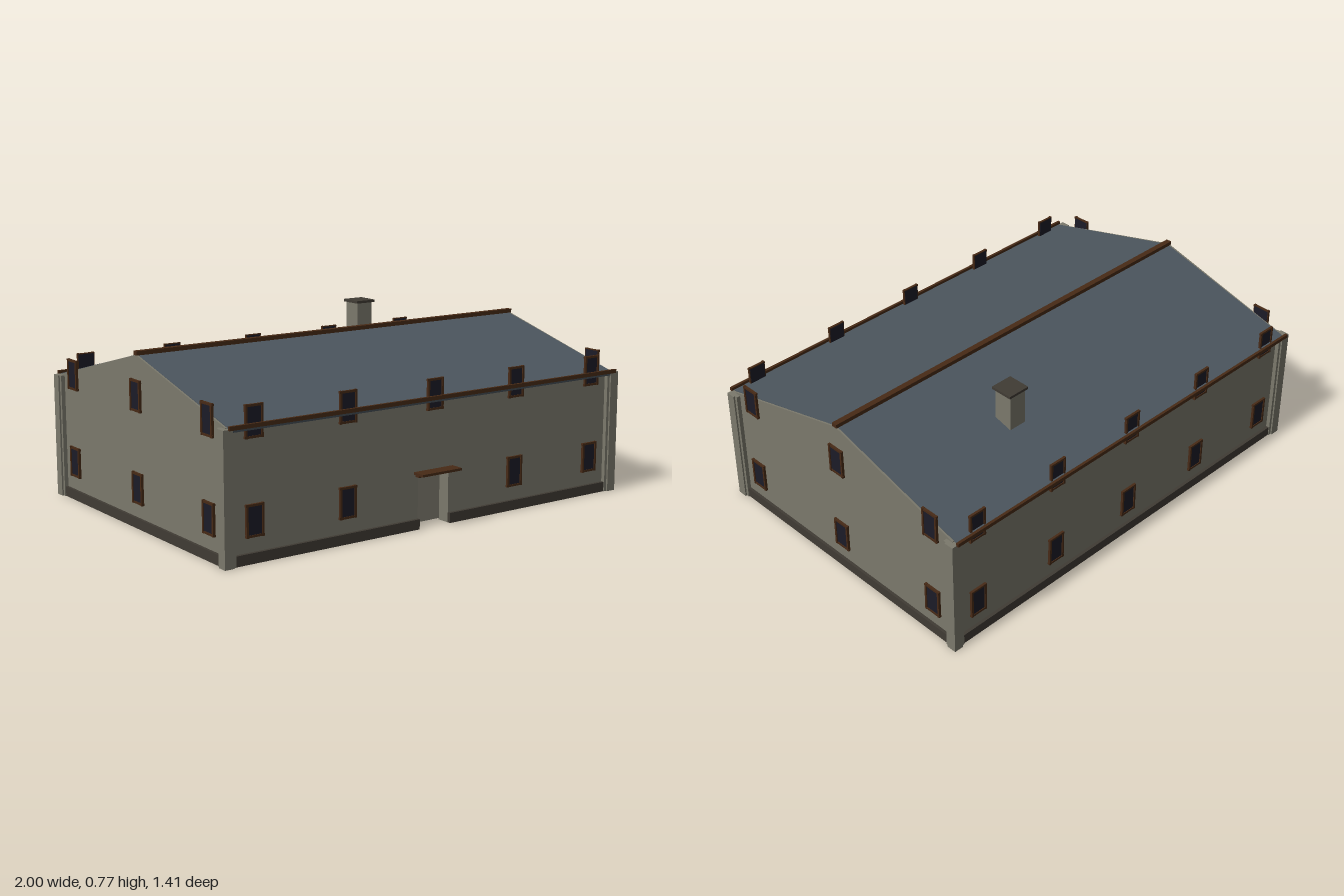
import * as THREE from 'three';

const mat = (name, color) => {
  const m = new THREE.MeshStandardMaterial({ color });
  m.name = name;
  return m;
};

export function createModel() {
  const stone = mat('stone wall', 0x7b796c);
  const dark = mat('dark stone', 0x403b34);
  const slate = mat('slate roof', 0x4c565e);
  const wood = mat('brown timber', 0x472a16);
  const glass = mat('dark glass', 0x1b1b27);
  const doorMat = mat('door panel', 0x807c70);

  const model = new THREE.Group();
  model.name = 'house';
  const house = new THREE.Group();
  house.name = 'building';
  house.position.z = -0.012;
  model.add(house);

  // Box given by its limits on each axis
  const box = (name, m, x0, x1, y0, y1, z0, z1, parent = house) => {
    const mesh = new THREE.Mesh(new THREE.BoxGeometry(x1 - x0, y1 - y0, z1 - z0), m);
    mesh.position.set((x0 + x1) / 2, (y0 + y1) / 2, (z0 + z1) / 2);
    mesh.name = name;
    parent.add(mesh);
  };
  // Profile in the z-y plane extruded along x
  const extrudeX = (name, m, points, x0, x1) => {
    const shape = new THREE.Shape(points.map(([z, y]) => new THREE.Vector2(z, y)));
    const geo = new THREE.ExtrudeGeometry(shape, { depth: x1 - x0, bevelEnabled: false });
    geo.rotateY(Math.PI / 2).translate(x0, 0, 0);
    const mesh = new THREE.Mesh(geo, m);
    mesh.name = name;
    house.add(mesh);
  };

  const W = 0.976, D = 0.658, EAVE = 0.53, APEX = 0.706;

  // Gable walls
  const gable = [[-D, 0], [D, 0], [D, EAVE], [0, APEX], [-D, EAVE]];
  extrudeX('leftGableWall', stone, gable, W - 0.04, W);
  extrudeX('rightGableWall', stone, gable, -W, -W + 0.04);

  // Long walls, with a recessed doorway in the front
  const inner = W - 0.04, t = 0.06, top = 0.515;
  box('backWall', stone, -inner, inner, 0, top, -D, -D + t);
  box('frontWallRight', stone, -inner, -0.078, 0, top, D - t, D);
  box('frontWallLeft', stone, 0.078, inner, 0, top, D - t, D);
  box('wallAboveDoor', stone, -0.078, 0.078, 0.22, top, D - t, D);
  box('door', doorMat, -0.078, 0.078, 0.006, 0.22, D - t - 0.01, D - t + 0.004);
  box('floor', stone, -inner, inner, 0.018, 0.04, -D + t, D - t - 0.01);

  // Plinth around the base, open at the doorway
  const px = 0.945, pz = 0.63, ph = 0.042;
  box('plinthBack', dark, -px, px, -0, ph, -D - 0.014, -D + 0.01);
  for (const s of [-1, 1]) {
    const a = s * 0.078, b = s * px;
    box('plinthFront', dark, Math.min(a, b), Math.max(a, b), 0, ph, D - 0.01, D + 0.014);
    const c = s * (W - 0.01), d = s * (W + 0.012);
    box('plinthSide', dark, Math.min(c, d), Math.max(c, d), 0, ph, -pz, pz);
  }

  // Corner pilasters: a square core with a slightly shallower stepped edge
  for (const sx of [-1, 1]) {
    for (const sz of [-1, 1]) {
      const p = new THREE.Group();
      p.name = 'cornerPilaster';
      box('pilasterCore', stone, -0.043, 0, 0, 0.527, -0.042, 0, p);
      box('pilasterEdgeFront', stone, -0.056, -0.043, 0, 0.527, -0.042, -0.007, p);
      box('pilasterEdgeSide', stone, -0.043, -0.007, 0, 0.527, -0.055, -0.042, p);
      // Turned rather than mirrored, so the faces keep their order
      p.rotation.y = sx > 0 ? (sz > 0 ? 0 : Math.PI / 2) : (sz > 0 ? -Math.PI / 2 : Math.PI);
      p.position.set(sx, 0, sz * 0.6825);
      house.add(p);
    }
  }

  // Roof with eaves cut square to the slope, ridge and eave beams
  extrudeX('roof', slate, [
    [-0.679, 0.513], [0, 0.692], [0.679, 0.513],
    [0.683, 0.527], [0, APEX], [-0.683, 0.527],
  ], -0.968, 0.968);
  box('ridgeBeam', wood, -0.978, 0.978, 0.704, 0.721, -0.0125, 0.0125);
  for (const s of [-1, 1]) {
    box('eaveBeam', wood, -0.978, 0.978, 0.524, 0.54, s * 0.686 - 0.006, s * 0.686 + 0.006);
  }

  // Chimney
  box('chimney', stone, 0.336, 0.417, 0.58, 0.764, -0.394, -0.31);
  box('chimneyCap', dark, 0.327, 0.427, 0.762, 0.773, -0.402, -0.302);

  // Door canopy
  box('doorLintel', wood, -0.09, 0.09, 0.215, 0.227, D - 0.01, D + 0.022);
  box('doorCanopy', wood, -0.1, 0.1, 0.226, 0.236, D - 0.01, 0.717);

  // Windows: glass with side posts, lintel and sill, facing +z before turning
  const addWindow = (x, y, z, turn) => {
    const w = new THREE.Group();
    w.name = 'window';
    box('glass', glass, -0.036, 0.036, -0.06, 0.06, -0.003, 0.005, w);
    for (const s of [-1, 1]) {
      box('windowPost', wood, s * 0.035 - 0.0045, s * 0.035 + 0.0045, -0.065, 0.065, -0.002, 0.009, w);
      box(s > 0 ? 'windowLintel' : 'windowSill', wood,
        -0.041, 0.041, s * 0.0595 - 0.0045, s * 0.0595 + 0.0045, -0.0025, 0.008, w);
    }
    w.position.set(x, y, z);
    w.rotation.y = turn;
    house.add(w);
  };
  for (const y of [0.165, 0.543]) {
    for (let i = -2; i <= 2; i++) {
      const x = i * 0.428;
      if (i !== 0 || y > 0.3) addWindow(x, y, D + 0.003, 0);
      addWindow(x, y, -D - 0.003, Math.PI);
    }
    for (let i = -1; i <= 1; i++) {
      addWindow(W + 0.002, y, i * 0.541, Math.PI / 2);
      addWindow(-W - 0.002, y, i * 0.541, -Math.PI / 2);
    }
  }

  return model;
}
